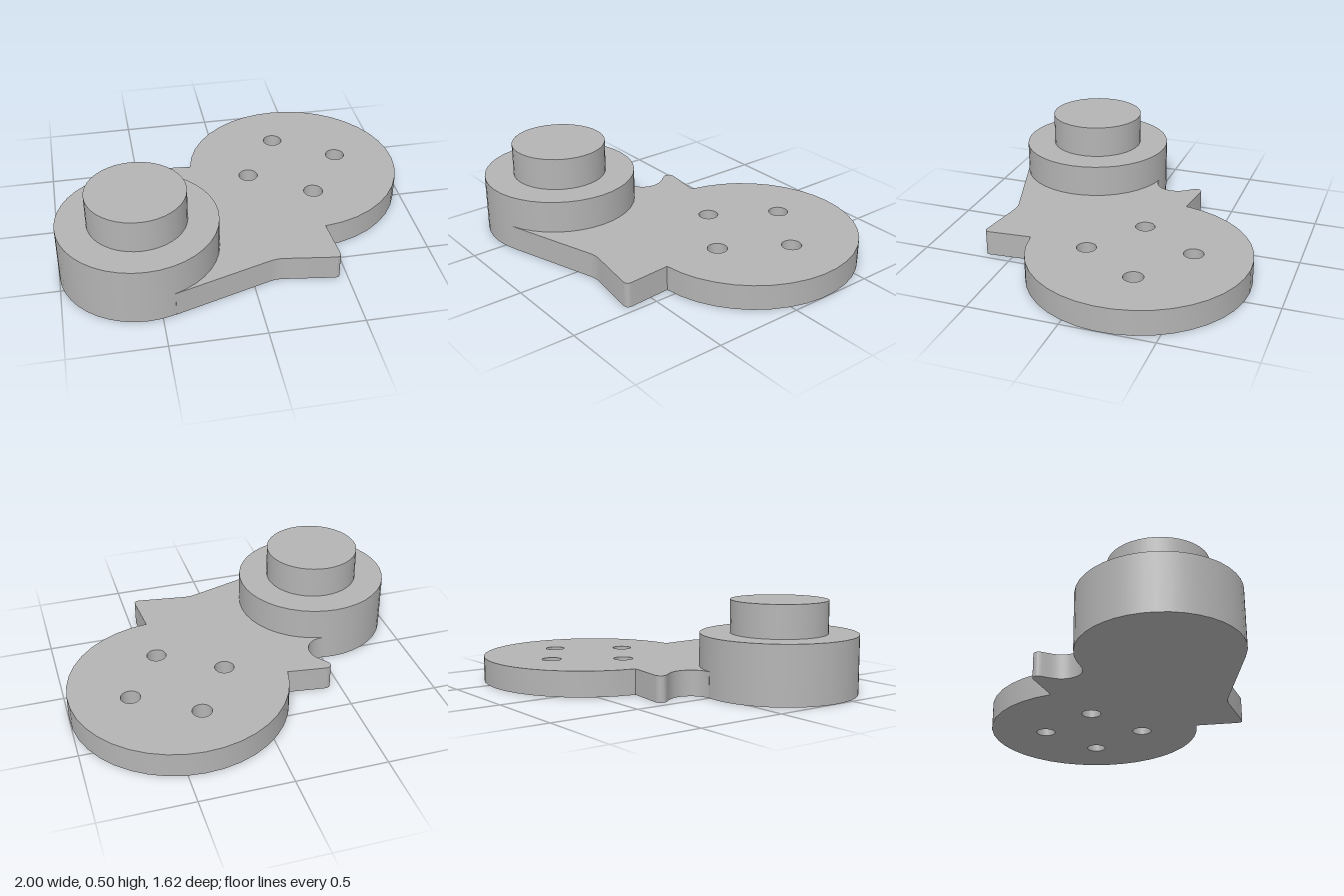
import * as THREE from 'three';
import { toCreasedNormals } from 'three/addons/utils/BufferGeometryUtils.js';

const THICKNESS = 0.14;
const BOSS = { x: -0.572, z: 0.38, r: 0.428, h: 0.32 };
const PIN = { r: 0.264, h: 0.5 };
const DISC = { x: 0.398, z: -0.213, r: 0.602 };
const HOLES = [[0.34, -0.495], [0.674, -0.275], [0.123, -0.158], [0.457, 0.06]];

export function createModel() {
  const group = new THREE.Group();
  const grey = new THREE.MeshStandardMaterial({ color: 0xb4b4b4 });
  grey.name = 'grey';

  const add = (name, geometry) => {
    const mesh = new THREE.Mesh(geometry, grey);
    mesh.name = name;
    group.add(mesh);
    return mesh;
  };

  // Plate outline, drawn with shape y = -z
  const s = new THREE.Shape();
  s.moveTo(0.444, -0.387);
  s.absarc(DISC.x, -DISC.z, DISC.r, -1.494, 2.997, false);
  // Rounded hook and hollow behind the boss
  s.lineTo(-0.415, 0.328);
  s.bezierCurveTo(-0.445, 0.33, -0.46, 0.298, -0.44, 0.275);
  s.bezierCurveTo(-0.415, 0.24, -0.378, 0.21, -0.38, 0.145);
  s.bezierCurveTo(-0.385, 0.085, -0.43, 0.04, -0.5, 0.043);
  // Inner edge, tucked just inside the boss wall
  s.absarc(BOSS.x, -BOSS.z, BOSS.r - 0.012, 1.36, -1.234, true);
  // Front edge and pointed corner
  s.lineTo(-0.43, -0.785);
  s.lineTo(0.085, -0.623);
  s.quadraticCurveTo(0.125, -0.611, 0.165, -0.617);
  s.lineTo(0.43, -0.655);
  s.quadraticCurveTo(0.464, -0.658, 0.461, -0.622);
  s.closePath();

  // Four bolt holes
  for (const [x, z] of HOLES) {
    const hole = new THREE.Path();
    hole.absarc(x, -z, 0.054, 0, Math.PI * 2, true);
    s.holes.push(hole);
  }

  const plate = new THREE.ExtrudeGeometry(s, { depth: THICKNESS, bevelEnabled: false, curveSegments: 14 });
  plate.rotateX(-Math.PI / 2);
  add('plate', toCreasedNormals(plate, 0.6));

  // Stepped round boss and pin
  const boss = add('boss', new THREE.CylinderGeometry(BOSS.r, BOSS.r, BOSS.h, 40));
  boss.position.set(BOSS.x, BOSS.h / 2, BOSS.z);
  const pinHeight = PIN.h - BOSS.h;
  const pin = add('pin', new THREE.CylinderGeometry(PIN.r, PIN.r, pinHeight, 40));
  pin.position.set(BOSS.x, BOSS.h + pinHeight / 2, BOSS.z);

  return group;
}
